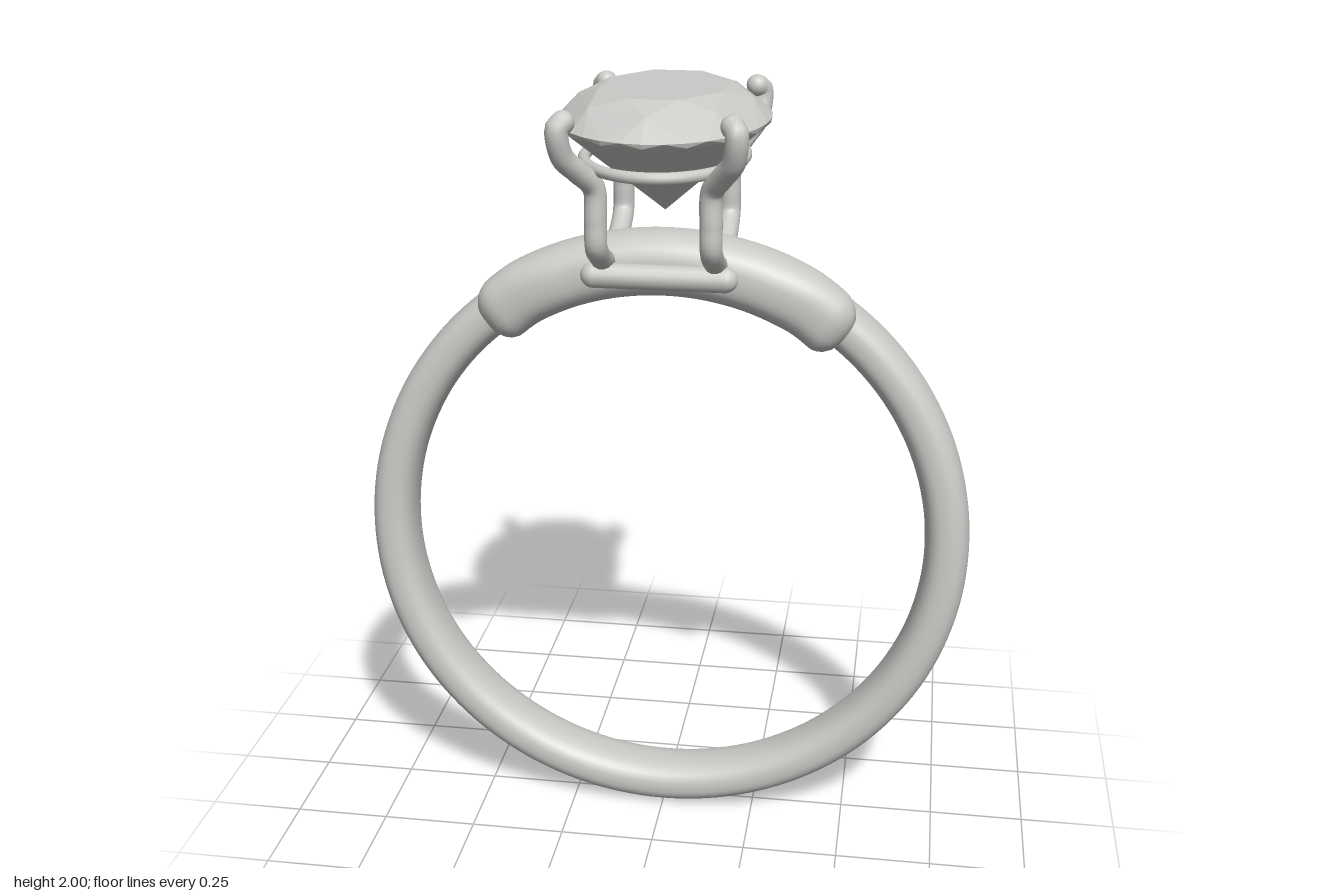
import * as THREE from 'three';
import { ConvexGeometry } from 'three/addons/geometries/ConvexGeometry.js';

const CENTRE_Y = 0.805;
const smooth = THREE.MathUtils.smoothstep;

// Sweep rounded sections around the finger; section(t) gives angle from top, radius, z and half sizes
function sweepArc(steps, sides, closed, section) {
  const pos = [], index = [];
  const rows = closed ? steps : steps + 1;
  const soft = (v) => Math.sign(v) * Math.pow(Math.abs(v), 0.82);
  for (let i = 0; i < rows; i++) {
    const s = section(i / steps);
    for (let j = 0; j < sides; j++) {
      const f = (j / sides) * Math.PI * 2;
      const r = s.radius + s.radial * soft(Math.cos(f));
      pos.push(r * Math.sin(s.angle), CENTRE_Y + r * Math.cos(s.angle), s.z + s.width * soft(Math.sin(f)));
    }
  }
  for (let i = 0; i < steps; i++) {
    for (let j = 0; j < sides; j++) {
      const k = (j + 1) % sides, n = (i + 1) % rows;
      const a = i * sides + j, b = i * sides + k, c = n * sides + j, d = n * sides + k;
      index.push(a, b, c, b, d, c);
    }
  }
  const geo = new THREE.BufferGeometry();
  geo.setAttribute('position', new THREE.Float32BufferAttribute(pos, 3));
  geo.setIndex(index);
  geo.computeVertexNormals();
  return geo;
}

export function createModel() {
  const model = new THREE.Group();
  const metal = new THREE.MeshStandardMaterial({ color: 0xcccac7 });
  metal.name = 'pale grey';
  const add = (geo, name, parent = model) => {
    const mesh = new THREE.Mesh(geo, metal);
    mesh.name = name;
    parent.add(mesh);
    return mesh;
  };

  // Band, swinging gently backwards at both shoulders
  add(sweepArc(160, 32, true, (t) => {
    const angle = t * Math.PI * 2;
    const fromTop = THREE.MathUtils.radToDeg(Math.min(angle, Math.PI * 2 - angle));
    const sway = smooth(fromTop, 5, 36) * (1 - smooth(fromTop, 36, 125));
    return { angle, radius: 0.747, z: -0.043 * sway, radial: 0.058, width: 0.082 };
  }), 'band');

  // Thicker bridge laid over the top of the band, with blunt ends
  add(sweepArc(72, 32, false, (t) => {
    const u = t * 2 - 1, e = Math.abs(u);
    const end = e > 0.86 ? Math.sqrt(Math.max(0, 1 - ((e - 0.86) / 0.14) ** 2)) : 1;
    return {
      angle: u * 0.68, radius: 0.752 - 0.012 * smooth(e, 0.7, 1), z: 0.012 * smooth(e, 0.4, 1),
      radial: 0.083 * end, width: (0.093 - 0.022 * smooth(e, 0.5, 1)) * end,
    };
  }), 'bridge');

  // Small bar beneath the front claws
  const bar = add(new THREE.CapsuleGeometry(0.032, 0.33, 8, 16), 'frontBar');
  bar.rotation.z = Math.PI / 2;
  bar.position.set(0, 1.545, 0.11);

  // Four claws holding the stone
  const claws = new THREE.Group();
  claws.name = 'claws';
  model.add(claws);
  for (const sx of [1, -1]) {
    for (const sz of [1, -1]) {
      const points = [
        [0.14, 1.57, 0.07], [0.14, 1.6, 0.14], [0.14, 1.64, 0.195], [0.14, 1.7, 0.2], [0.142, 1.785, 0.202],
        [0.172, 1.83, 0.24], [0.2, 1.87, 0.277], [0.209, 1.92, 0.297], [0.208, 1.945, 0.297], [0.197, 1.955, 0.282],
      ].map(([x, y, z]) => new THREE.Vector3(x * sx, y, z * sz));
      const path = new THREE.CatmullRomCurve3(points, false, 'centripetal');
      add(new THREE.TubeGeometry(path, 48, 0.028, 14), 'claw', claws);
      for (const p of [points[0], points[points.length - 1]]) {
        add(new THREE.SphereGeometry(0.028, 14, 10), 'clawTip', claws).position.copy(p);
      }
    }
  }

  // Oval rail under the stone
  const oval = [];
  for (let i = 0; i < 32; i++) {
    const a = (i / 32) * Math.PI * 2;
    oval.push(new THREE.Vector3(0.198 * Math.cos(a), 1.828, 0.275 * Math.sin(a)));
  }
  add(new THREE.TubeGeometry(new THREE.CatmullRomCurve3(oval, true), 80, 0.015, 10, true), 'rail');

  // Faceted oval stone: table, crown corners, girdle and pointed base
  const cut = [new THREE.Vector3(0, 1.69, 0)];
  const ring = (count, scale, y, offset = 0) => {
    for (let i = 0; i < count; i++) {
      const a = ((i + offset) / count) * Math.PI * 2;
      cut.push(new THREE.Vector3(0.262 * scale * Math.cos(a), y, 0.368 * scale * Math.sin(a)));
    }
  };
  ring(8, 0.62, 2.0, 0.5);
  ring(8, 0.82, 1.975);
  ring(32, 1, 1.926);
  ring(16, 0.99, 1.914);
  add(new ConvexGeometry(cut), 'stone');

  return model;
}
